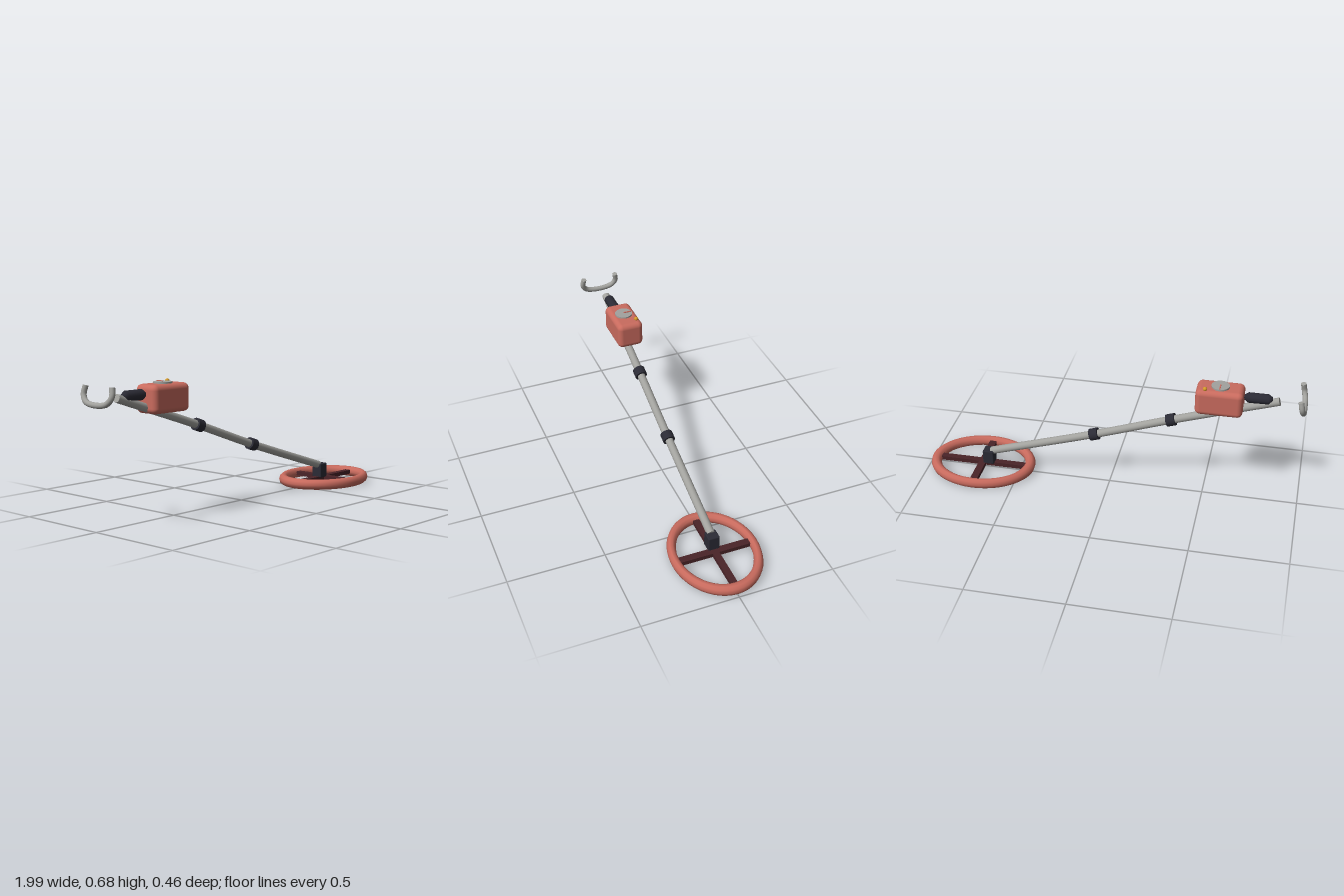
import * as THREE from 'three';
import { RoundedBoxGeometry } from 'three/addons/geometries/RoundedBoxGeometry.js';

const mat = (name, color) => {
  const m = new THREE.MeshStandardMaterial({ color });
  m.name = name;
  return m;
};
const V = (x, y, z = 0) => new THREE.Vector3(x, y, z);

export function createModel() {
  const red = mat('coral red', 0xc96b5e);
  const grey = mat('metal grey', 0xa2a29e);
  const dark = mat('dark rubber', 0x2b2b35);
  const brown = mat('dark maroon', 0x4a2428);
  const amber = mat('amber', 0xd59a2a);

  const model = new THREE.Group();
  model.name = 'metalDetector';
  const add = (name, geometry, material, x = 0, y = 0, z = 0) => {
    const mesh = new THREE.Mesh(geometry, material);
    mesh.name = name;
    mesh.position.set(x, y, z);
    model.add(mesh);
    return mesh;
  };

  // Closed round bar following a curve
  const bar = (name, points, radius, segments, sides) => {
    const curve = new THREE.CatmullRomCurve3(points);
    add(name, new THREE.TubeGeometry(curve, segments, radius, sides), grey);
    for (const t of [0, 1]) {
      const end = curve.getPoint(t);
      const out = curve.getTangent(t).multiplyScalar(t ? 1 : -1);
      const cap = add(name + 'Cap', new THREE.CircleGeometry(radius, sides), grey, end.x, end.y, end.z);
      cap.quaternion.setFromUnitVectors(V(0, 0, 1), out);
    }
    return curve;
  };

  // Long, slightly bent shaft with two locking collars
  const joints = [V(-0.862, 0.611), V(-0.322, 0.433), V(0.082, 0.291), V(0.655, 0.108)];
  const shaft = bar('shaft', joints, 0.021, 48, 16);
  const up = V(0, 1, 0);
  for (const i of [1, 2]) {
    const collar = add('collar', new THREE.CylinderGeometry(0.032, 0.032, 0.046, 16), dark, joints[i].x, joints[i].y);
    collar.quaternion.setFromUnitVectors(up, shaft.getTangent(i / 3));
  }

  // Search coil: oval ring, cross spokes and mounting block
  add('coilRing', new THREE.TorusGeometry(0.26, 0.0285, 10, 48).rotateX(Math.PI / 2), red, 0.706, 0.0285)
    .scale.z = 0.79;
  add('longSpoke', new THREE.BoxGeometry(0.51, 0.022, 0.034), brown, 0.706, 0.03);
  add('crossSpoke', new THREE.BoxGeometry(0.038, 0.022, 0.4), brown, 0.706, 0.03);
  add('coilMount', new RoundedBoxGeometry(0.06, 0.08, 0.06, 2, 0.006), dark, 0.669, 0.076);

  // Control box with dial, pointer and indicator lamp
  add('controlBox', new RoundedBoxGeometry(0.24, 0.14, 0.14, 4, 0.027), red, -0.565, 0.591);
  add('dial', new THREE.CylinderGeometry(0.046, 0.046, 0.012, 24), grey, -0.565, 0.663);
  add('dialPointer', new THREE.BoxGeometry(0.006, 0.004, 0.042), red, -0.565, 0.671, -0.021);
  add('indicatorLamp', new THREE.SphereGeometry(0.011, 16, 12), amber, -0.492, 0.665, -0.045);

  // Hand grip with bevelled ends
  const gripProfile = [[0, -0.072], [0.013, -0.07], [0.027, -0.05], [0.027, 0.05], [0.013, 0.07], [0, 0.072]]
    .map(([r, h]) => new THREE.Vector2(r, h));
  add('handGrip', new THREE.LatheGeometry(gripProfile, 10).rotateZ(Math.PI / 2), dark, -0.757, 0.616);

  // Arm cuff: upright U leaning forward at the tips
  const side = [[-0.968, 0.674, 0.092], [-0.976, 0.632, 0.097], [-0.984, 0.6, 0.072]];
  const cuff = [
    ...side.map(([x, y, z]) => V(x, y, z)),
    V(-0.986, 0.588, 0),
    ...side.reverse().map(([x, y, z]) => V(x, y, -z)),
  ];
  bar('armCuff', cuff, 0.014, 48, 12);

  return model;
}
